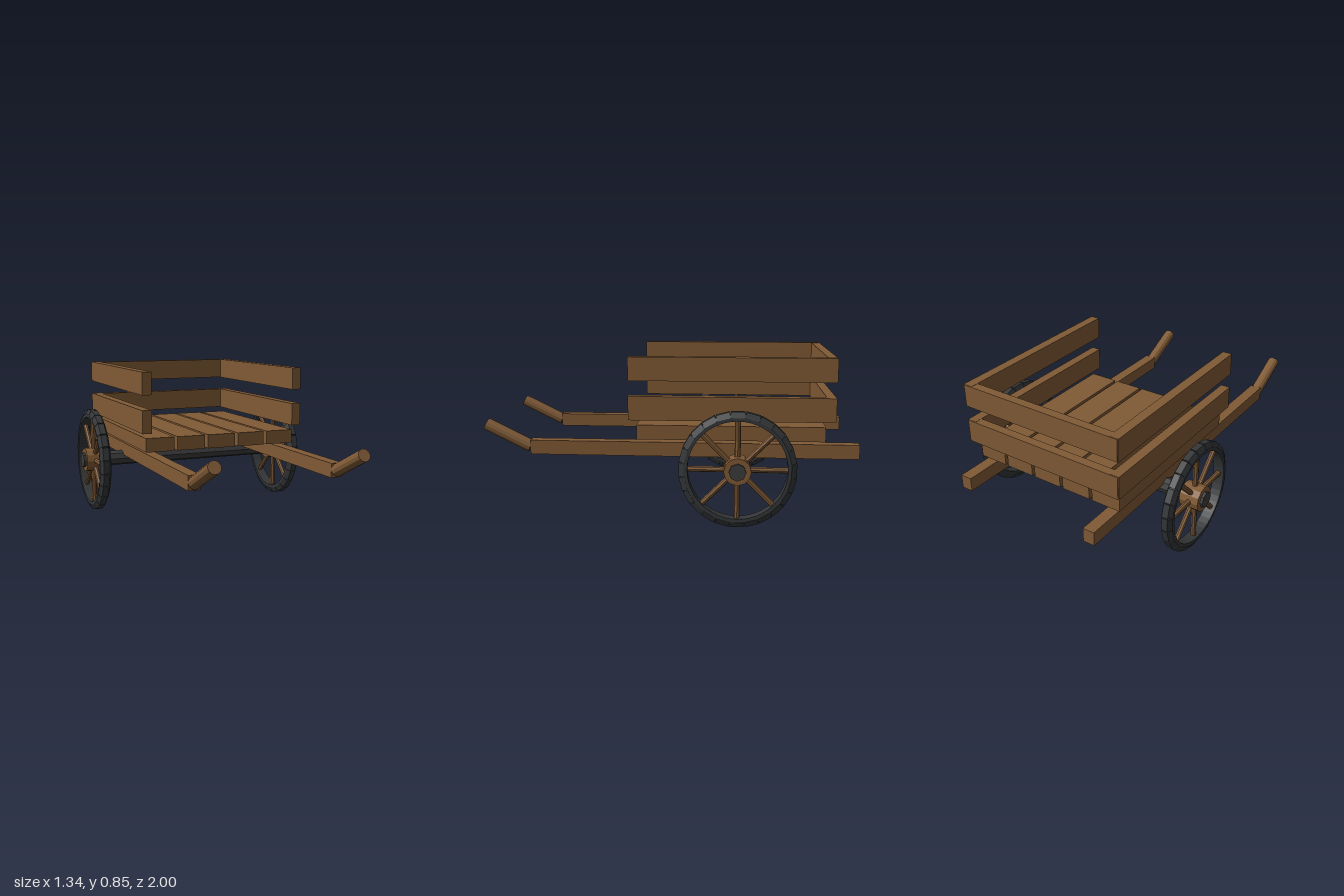
import * as THREE from 'three';

const wood = new THREE.MeshStandardMaterial({ color: 0x805a35, flatShading: true });
wood.name = 'wood';
const rubber = new THREE.MeshStandardMaterial({ color: 0x343638, flatShading: true });
rubber.name = 'tyre black';
const iron = new THREE.MeshStandardMaterial({ color: 0x3c3c3e, flatShading: true });
iron.name = 'axle grey';

function add(parent, name, geometry, material, x = 0, y = 0, z = 0) {
  const mesh = new THREE.Mesh(geometry, material);
  mesh.name = name;
  mesh.position.set(x, y, z);
  parent.add(mesh);
  return mesh;
}

// Box given by its limits on each axis
function board(parent, name, [x0, x1], [y0, y1], [z0, z1]) {
  return add(parent, name, new THREE.BoxGeometry(x1 - x0, y1 - y0, z1 - z0), wood,
    (x0 + x1) / 2, (y0 + y1) / 2, (z0 + z1) / 2);
}

// Cylinder between two points
function rod(parent, name, a, b, radius, sides, material) {
  const dir = b.clone().sub(a);
  const mesh = add(parent, name, new THREE.CylinderGeometry(radius, radius, dir.length(), sides), material);
  mesh.position.copy(a).add(b).multiplyScalar(0.5);
  mesh.quaternion.setFromUnitVectors(new THREE.Vector3(0, 1, 0), dir.normalize());
  return mesh;
}

// Tread block: box whose outer face is narrowed across the tyre
function treadGeometry() {
  const geo = new THREE.BoxGeometry(0.066, 0.028, 0.072);
  const p = geo.attributes.position;
  for (let i = 0; i < p.count; i++) {
    if (p.getY(i) > 0) p.setX(i, p.getX(i) * 0.52);
    else p.setZ(i, p.getZ(i) * 0.93);
  }
  return geo;
}

// Wheel centred on its own origin, turning about x
function makeWheel() {
  const wheel = new THREE.Group();
  wheel.name = 'wheel';

  const profile = [[0.253, -0.03], [0.272, -0.03], [0.288, -0.018], [0.288, 0.018],
    [0.272, 0.03], [0.253, 0.03], [0.253, -0.03]].map(([r, w]) => new THREE.Vector2(r, w));
  add(wheel, 'tyre', new THREE.LatheGeometry(profile, 48), rubber).rotation.z = Math.PI / 2;

  const tread = treadGeometry();
  for (let i = 0; i < 24; i++) {
    const a = (i / 24) * Math.PI * 2;
    add(wheel, 'treadBlock', tread, rubber, 0, Math.cos(a) * 0.284, Math.sin(a) * 0.284).rotation.x = a;
  }

  for (let i = 0; i < 8; i++) {
    const a = (i / 8) * Math.PI * 2;
    const at = (r) => new THREE.Vector3(0, Math.cos(a) * r, Math.sin(a) * r);
    rod(wheel, 'spoke', at(0.03), at(0.26), 0.015, 8, wood);
  }

  add(wheel, 'hub', new THREE.CylinderGeometry(0.07, 0.07, 0.108, 12), wood).rotation.z = Math.PI / 2;
  return wheel;
}

export function createModel() {
  const cart = new THREE.Group();
  cart.name = 'handcart';

  // Bed planks
  for (let i = -2; i <= 2; i++) {
    const x = i * 0.182;
    board(cart, 'bedPlank', [x - 0.082, x + 0.082], [0.415, 0.492], [-0.82, 0.167]);
  }

  // Two tiers of rails round the sides and back
  for (const [y0, y1] of [[0.523, 0.649], [0.73, 0.854]]) {
    board(cart, 'backRail', [-0.472, 0.472], [y0 + 0.001, y1 - 0.001], [-0.868, -0.82]);
    board(cart, 'rightRail', [-0.477, -0.424], [y0, y1], [-0.863, 0.207]);
    board(cart, 'leftRail', [0.424, 0.477], [y0, y1], [-0.863, 0.207]);
  }

  // Axle
  const axleY = 0.301, axleZ = -0.365;
  rod(cart, 'axle', new THREE.Vector3(-0.67, axleY, axleZ), new THREE.Vector3(0.67, axleY, axleZ), 0.044, 8, iron);

  // Shafts, bent handles and wheels on both sides
  for (const s of [-1, 1]) {
    const x = s * 0.395;
    board(cart, 'shaft', [x - 0.032, x + 0.032], [0.321, 0.397], [-1, 0.742]);
    rod(cart, 'handle', new THREE.Vector3(x, 0.359, 0.745), new THREE.Vector3(x, 0.477, 0.986), 0.034, 12, wood);
    const wheel = makeWheel();
    wheel.position.set(s * 0.602, axleY, axleZ);
    cart.add(wheel);
  }

  return cart;
}
